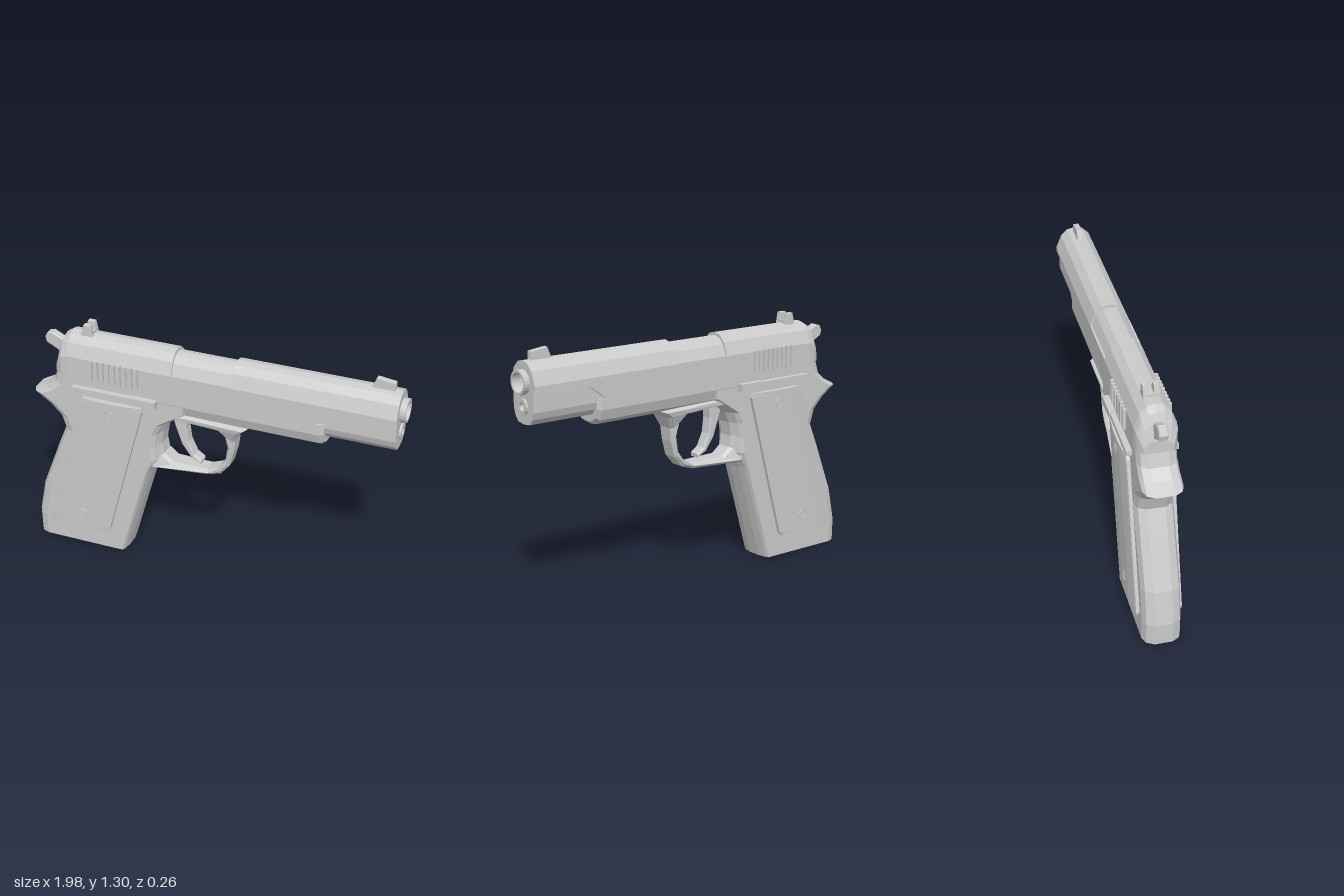
import * as THREE from 'three';

const mat = new THREE.MeshStandardMaterial({ color: 0xcccccc, flatShading: true });
const openMat = new THREE.MeshStandardMaterial({ color: 0xcccccc, side: THREE.DoubleSide });

// Skin a list of closed rings (arrays of [x, y, z]) with capped ends, always facing outward
function loft(rings) {
  const tris = [], n = rings[0].length;
  const mid = (r) => [0, 1, 2].map((k) => r.reduce((s, p) => s + p[k], 0) / r.length);
  for (let i = 0; i < rings.length - 1; i++) {
    for (let j = 0; j < n; j++) {
      const k = (j + 1) % n, a = rings[i], b = rings[i + 1];
      tris.push([a[j], a[k], b[k]], [a[j], b[k], b[j]]);
    }
  }
  const first = rings[0], last = rings[rings.length - 1];
  for (let j = 0; j < n; j++) {
    const k = (j + 1) % n;
    tris.push([mid(first), first[k], first[j]], [mid(last), last[j], last[k]]);
  }
  const v = tris.map((t) => t.map((p) => new THREE.Vector3(...p)));
  const volume = v.reduce((s, [a, b, c]) => s + a.dot(b.clone().cross(c)), 0);
  const out = v.flatMap(([a, b, c]) => (volume < 0 ? [a, c, b] : [a, b, c]));
  const g = new THREE.BufferGeometry().setFromPoints(out);
  g.computeVertexNormals();
  return g;
}

// Full ring from a half profile of [z, y] at station x
function section(x, half) {
  const right = half.map(([z, y]) => [x, y, z]);
  const left = half.filter(([z]) => z > 0).map(([z, y]) => [x, y, -z]).reverse();
  return [...right, ...left];
}

const toShape = (pts) => new THREE.Shape(pts.map((p) => new THREE.Vector2(...p)));

// Side outline extruded symmetrically about z = 0 with a small bevel
function slab(shape, halfWidth, bevel) {
  const g = new THREE.ExtrudeGeometry(shape, {
    depth: 2 * (halfWidth - bevel), bevelThickness: bevel, bevelSize: bevel,
    bevelOffset: -bevel, bevelSegments: 1, curveSegments: 12,
  });
  return g.translate(0, 0, bevel - halfWidth);
}

export function createModel() {
  const model = new THREE.Group();
  const add = (name, geometry, material = mat) => {
    const m = new THREE.Mesh(geometry, material);
    m.name = name;
    model.add(m);
    return m;
  };
  const box = (name, x0, x1, y0, y1, z0, z1) =>
    add(name, new THREE.BoxGeometry(x1 - x0, y1 - y0, z1 - z0)
      .translate((x0 + x1) / 2, (y0 + y1) / 2, (z0 + z1) / 2));

  // Slide: rounded rear, shallow port in the middle, lower edge sweeping up at the front
  const top = [[0, 1.247], [0.04, 1.238], [0.075, 1.205], [0.102, 1.137]];
  const slideAt = (x, low = 1.03, sz = 1, sy = 1) =>
    section(x, [...top, [0.102, low]].map(([z, y]) => [z * sz, 1.03 + (y - 1.03) * sy]));
  add('slideRear', loft([
    slideAt(-0.825, 1.03, 0.7, 0.3), slideAt(-0.805, 1.03, 0.86, 0.68),
    slideAt(-0.785, 1.03, 0.96, 0.9), slideAt(-0.75), slideAt(-0.18),
  ]));
  const port = [[0, 1.232], [0.036, 1.224], [0.068, 1.193], [0.092, 1.14], [0.102, 1.14], [0.102, 1.03]];
  add('ejectionPort', loft([section(-0.18, port), section(0.135, port)]));
  add('slideFront', loft([
    slideAt(0.135), slideAt(0.57), slideAt(0.65, 1.09), slideAt(0.72, 1.115), slideAt(0.9, 1.115),
  ]));
  const core = [[0.087, 1.115], [0.086, 1.01], [0.074, 0.975], [0.05, 0.947], [0, 0.941]];
  add('slideUnderside', loft([0.45, 0.9].map((x) => section(x, core))));

  // Muzzle block with openings for the barrel and the guide rod
  const half = [...top, [0.102, 1.115], ...core];
  const face = toShape(section(0, half).map(([, y, z]) => [z, y]));
  for (const [y, r] of [[1.145, 0.05], [1.027, 0.02]]) {
    face.holes.push(new THREE.Path().absarc(0, y, r, 0, Math.PI * 2, true));
  }
  add('muzzleBlock', new THREE.ExtrudeGeometry(face, { depth: 0.065, bevelEnabled: false })
    .rotateY(Math.PI / 2).translate(0.9, 0, 0));
  const ring = (name, y, r, bore, end, sides) => {
    const pts = [[0, 0.9], [bore, 0.9], [bore, end], [r, end], [r, 0.95]].map((p) => new THREE.Vector2(...p));
    const g = new THREE.LatheGeometry(pts, sides).toNonIndexed();
    g.computeVertexNormals();
    add(name, g.rotateZ(-Math.PI / 2).translate(0, y, 0), openMat);
  };
  ring('barrel', 1.145, 0.06, 0.048, 0.995, 24);
  ring('guideRod', 1.027, 0.04, 0.02, 0.976, 18);

  // Frame rail under the slide
  const rail = [[0.098, 1.03], [0.098, 0.97], [0.08, 0.918], [0.045, 0.893], [0, 0.888]];
  const shrunk = rail.map(([z, y]) => [z * 0.92, 1.03 + (y - 1.03) * 0.88]);
  add('frameRail', loft([section(-0.3, rail), section(0.59, rail), section(0.612, shrunk)]));

  // Grip with tang: rows of [y, back x, front x, front bevel]
  const rows = [
    [0, -0.985, -0.465, 0.018], [0.12, -0.988, -0.431, 0.018], [0.3, -0.952, -0.38, 0.018],
    [0.52, -0.868, -0.317, 0.018], [0.56, -0.853, -0.3, 0.02], [0.61, -0.833, -0.255, 0.05],
    [0.69, -0.8, -0.262, 0.045], [0.77, -0.825, -0.25, 0.045], [0.83, -0.885, -0.222, 0.045],
    [0.885, -0.968, -0.14, 0.045], [0.92, -0.9, -0.1, 0.03], [0.965, -0.85, -0.1, 0.02],
    [1.03, -0.83, -0.1, 0.02],
  ];
  add('gripFrame', loft(rows.map(([y, b, f, c]) => {
    const side = [[b, 0.045], [b + 0.022, 0.083], [b + 0.06, 0.097], [f - c, 0.097],
      [f - c * 0.5, 0.08], [f, 0.035]];
    return [...side.map(([x, z]) => [x, y, z]), ...side.map(([x, z]) => [x, y, -z]).reverse()];
  })));

  // Trigger guard, flaring where it meets the frame and grip
  const guard = toShape([[-0.31, 0.558], [-0.01, 0.566], [0.06, 0.588], [0.108, 0.645], [0.13, 0.73],
    [0.138, 0.8], [0.165, 0.86], [0.21, 0.9], [-0.2, 0.92], [-0.32, 0.8]]);
  guard.holes.push(new THREE.Path([[-0.13, 0.892], [-0.2, 0.875], [-0.245, 0.8], [-0.262, 0.7],
    [-0.25, 0.64], [-0.2, 0.6], [-0.01, 0.596], [0.05, 0.62], [0.085, 0.67], [0.097, 0.75],
    [0.085, 0.82], [0.045, 0.87], [0, 0.888]].map((p) => new THREE.Vector2(...p))));
  const guardGeo = slab(guard, 0.052, 0.014);
  const gp = guardGeo.attributes.position;
  for (let i = 0; i < gp.count; i++) {
    const flare = Math.max(THREE.MathUtils.smoothstep(gp.getY(i), 0.78, 0.9),
      THREE.MathUtils.smoothstep(-gp.getX(i), 0.25, 0.31));
    gp.setZ(i, gp.getZ(i) * (1 + 0.75 * flare));
  }
  guardGeo.computeVertexNormals();
  add('triggerGuard', guardGeo);

  add('trigger', slab(toShape([[-0.215, 0.9], [-0.19, 0.81], [-0.155, 0.71], [-0.105, 0.64], [-0.05, 0.613],
    [-0.048, 0.632], [-0.088, 0.66], [-0.12, 0.73], [-0.13, 0.81], [-0.12, 0.9]]), 0.032, 0.006));

  // Hammer
  add('hammer', slab(toShape([[-0.78, 1.06], [-0.825, 1.11], [-0.865, 1.132], [-0.9, 1.15], [-0.907, 1.178],
    [-0.893, 1.205], [-0.865, 1.213], [-0.83, 1.195], [-0.77, 1.17]]), 0.022, 0.005));

  // Sights
  for (const s of [1, -1]) {
    add('rearSight', slab(toShape([[-0.695, 1.23], [-0.628, 1.23], [-0.64, 1.298], [-0.676, 1.298]]),
      0.014, 0.002)).position.z = s * 0.026;
  }
  box('rearSightBase', -0.69, -0.632, 1.22, 1.258, -0.035, 0.035);
  add('frontSight', slab(toShape([[0.81, 1.235], [0.928, 1.235], [0.928, 1.285], [0.835, 1.297]]), 0.015, 0.002));

  for (const s of [1, -1]) {
    const sided = (name, x0, x1, y0, y1, z0, z1) =>
      box(name, x0, x1, y0, y1, Math.min(s * z0, s * z1), Math.max(s * z0, s * z1));

    // Gripping ribs on the slide
    for (let i = 0; i < 9; i++) {
      const x = -0.62 + i * 0.031;
      sided('slideRib', x, x + 0.014, 1.03, 1.143, 0.09, 0.116);
    }

    // Lever with a thicker thumb pad
    sided('lever', -0.72, -0.38, 0.955, 0.98, 0.09, 0.126);
    sided('leverPad', -0.4, -0.258, 0.943, 0.984, 0.09, 0.131);

    // Faceted grip panel and its screws
    const panel = [[0, 0.09], [0, 0.114], [0.05, 0.118], [0.3, 0.127], [0.65, 0.127],
      [0.95, 0.118], [1, 0.114], [1, 0.09]];
    const panelRows = [[0.115, -0.885, -0.56], [0.135, -0.89, -0.543], [0.9, -0.682, -0.338], [0.922, -0.665, -0.345]];
    add('gripPanel', loft(panelRows.map(([y, b, f]) => panel.map(([t, z]) => [b + (f - b) * t, y, s * z]))));
    for (const [x, y] of [[-0.515, 0.855], [-0.695, 0.21]]) {
      add('gripScrew', new THREE.CylinderGeometry(0.019, 0.019, 0.03, 16)
        .rotateX(Math.PI / 2).translate(x, y, s * 0.113));
      add('gripScrewRim', new THREE.TorusGeometry(0.022, 0.005, 6, 16).translate(x, y, s * 0.125));
    }
  }
  return model;
}
